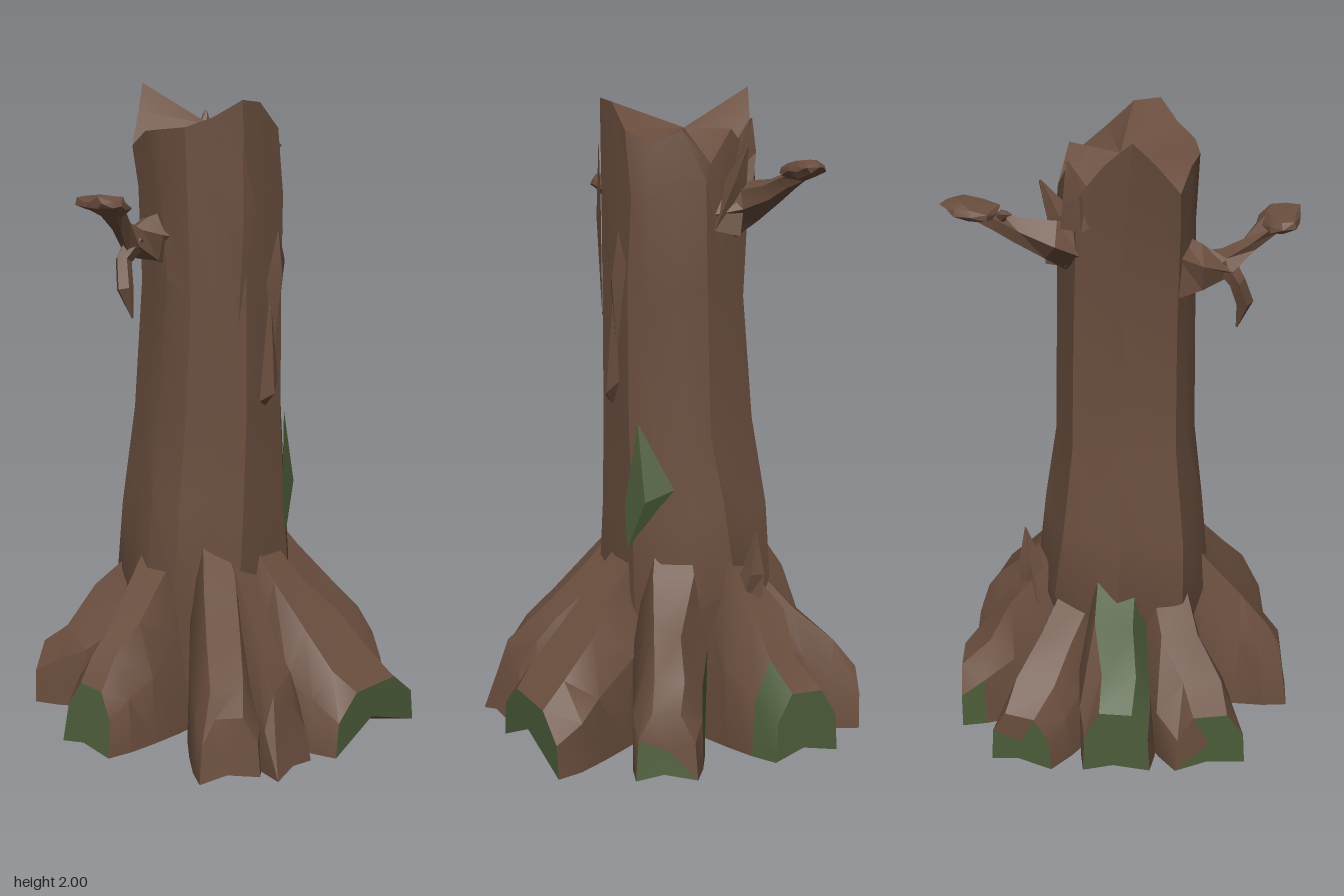
import * as THREE from 'three';
import { toCreasedNormals } from 'three/addons/utils/BufferGeometryUtils.js';

const V = (x, y, z) => new THREE.Vector3(x, y, z);

export function createModel() {
  const model = new THREE.Group();
  model.name = 'treeStump';
  const bark = new THREE.MeshStandardMaterial({ color: 0x6a4e3e });
  bark.name = 'barkBrown';
  const moss = new THREE.MeshStandardMaterial({ color: 0x4d5d3a });
  moss.name = 'mossGreen';

  let seed = 7;
  const rand = () => (seed = (seed * 16807) % 2147483647) / 2147483647;
  const jitter = (a) => (rand() - 0.5) * 2 * a;

  function addMesh(name, tris, material, crease = 0.5) {
    if (!tris.length) return;
    const g = new THREE.BufferGeometry().setFromPoints(tris.flat());
    const m = new THREE.Mesh(toCreasedNormals(g, crease), material);
    m.name = name;
    model.add(m);
  }

  // Skin a list of rings, close both ends, and turn every face outward
  function loft(name, rings, { isMoss = () => false, tip = null, crease = 0.5 } = {}) {
    const faces = [];
    const n = rings[0].length;
    const put = (green, ...t) => faces.push({ green, t });
    for (let j = 0; j < rings.length - 1; j++) {
      for (let k = 0; k < n; k++) {
        const a = rings[j][k], b = rings[j][(k + 1) % n];
        const c = rings[j + 1][(k + 1) % n], d = rings[j + 1][k];
        put(isMoss(j, k), a, b, c);
        put(isMoss(j, k), a, c, d);
      }
    }
    const mid = (r) => r.reduce((s, p) => s.add(p), V(0, 0, 0)).divideScalar(n);
    const first = rings[0], last = rings[rings.length - 1];
    const c0 = mid(first), c1 = tip || mid(last);
    for (let k = 0; k < n; k++) {
      put(false, c0, first[(k + 1) % n], first[k]);
      put(isMoss(-1, k), c1, last[k], last[(k + 1) % n]);
    }
    const volume = faces.reduce((s, { t: [a, b, c] }) =>
      s + a.clone().sub(c0).dot(b.clone().sub(c0).cross(c.clone().sub(c0))), 0);
    const pick = (green) => faces.filter((f) => f.green === green)
      .map(({ t: [a, b, c] }) => (volume < 0 ? [a, c, b] : [a, b, c]));
    addMesh(name, pick(false), bark, crease);
    addMesh(name + 'Moss', pick(true), moss, crease);
  }

  // Trunk: height, centre x, centre z, radius x, radius z
  const levels = [
    [0, 0, -0.03, 0.2, 0.18], [0.45, 0.01, -0.08, 0.285, 0.27],
    [0.72, 0.01, -0.075, 0.25, 0.255], [1.0, 0.003, -0.055, 0.215, 0.235],
    [1.4, 0.003, -0.035, 0.208, 0.215], [1.7, 0.003, -0.045, 0.207, 0.228],
    [2.0, -0.02, -0.065, 0.195, 0.242],
  ];
  const sides = 16;
  const ridges = [1, 0.98, 1.0, 1.03, 0.96, 1.04, 0.94, 1.01, 1, 0.94, 1.04, 0.93, 1.01, 0.95, 1.03, 0.94];
  const rim = [1.78, 1.88, 1.84, 1.88, 1.96, 1.97, 1.92, 1.89, 1.88, 1.87, 1.82, 1.92, 2.0, 1.92, 1.8, 1.88];
  function trunkPoint(i, y, out = 0) {
    let l = 0;
    while (l < levels.length - 2 && y > levels[l + 1][0]) l++;
    const p = levels[l], q = levels[l + 1];
    const f = (y - p[0]) / (q[0] - p[0]);
    const [cx, cz, rx, rz] = [1, 2, 3, 4].map((k) => THREE.MathUtils.lerp(p[k], q[k], f));
    const i0 = Math.floor(i), n = (k) => ridges[((k % sides) + sides) % sides];
    const s = THREE.MathUtils.lerp(n(i0), n(i0 + 1), i - i0);
    const a = (i / sides) * Math.PI * 2;
    return V(cx + Math.cos(a) * (rx * s + out), y, cz + Math.sin(a) * (rz * s + out));
  }
  const trunkRings = [0, 0.45, 0.72, 1.0, 1.4, 1.7].map((y, r) =>
    ridges.map((_, i) => trunkPoint(i + (r % 2 ? jitter(0.2) : 0), y ? y + jitter(0.04) : 0)));
  trunkRings.push(rim.map((y, i) => trunkPoint(i, y)));
  loft('trunk', trunkRings, { tip: V(0.02, 1.88, -0.06) });

  // Raised bark flakes and the moss patch lie on the trunk surface
  function flake(name, i, y0, yMid, y1, half, bulge, material, foot = 0.1, head = -0.1) {
    const b = trunkPoint(i + foot, y0, 0.008), t = trunkPoint(i + head, y1, 0.008);
    const r = trunkPoint(i - half, yMid, 0.01), l = trunkPoint(i + half, yMid - 0.06, 0.01);
    const c = trunkPoint(i, yMid - 0.04, bulge);
    addMesh(name, [[c, b, r], [c, r, t], [c, t, l], [c, l, b]], material, 0.4);
  }
  flake('mossPatch', 2.4, 0.6, 0.8, 1.0, 0.85, 0.028, moss, 0.75, 0.2);
  flake('barkFlake', 3.9, 1.04, 1.12, 1.42, 0.5, 0.035, bark);
  flake('barkFlake', 3.5, 1.2, 1.48, 1.58, 0.55, 0.03, bark);
  flake('barkFlake', 5.2, 1.3, 1.65, 1.85, 0.5, 0.02, bark);

  // Roots: ground corners of the outer end, height factor, notch, lean of the end face, mossy faces
  const lerp2 = (a, b, f) => [a[0] + (b[0] - a[0]) * f, a[1] + (b[1] - a[1]) * f];
  const profile = [[0, 0], [0.03, 0.55], [0.27, 0.97], [0.75, 1], [0.97, 0.6], [1, 0], [0.55, 0]];
  const stations = [[0, 0.75, 0.75], [0.35, 0.54, 1], [0.6, 0.4, 1.08], [0.82, 0.285, 1.1], [1, 0.2, 1]];
  function root(name, a, b, k, notch, lean, isMoss) {
    const mid = lerp2(a, b, 0.5);
    const reach = Math.hypot(...mid);
    const width = Math.hypot(b[0] - a[0], b[1] - a[1]);
    const inner = [mid[0] / reach * 0.1, mid[1] / reach * 0.1 - 0.03];
    const side = [(b[0] - a[0]) / width * 0.115, (b[1] - a[1]) / width * 0.115];
    const ia = [inner[0] - side[0], inner[1] - side[1]];
    const ib = [inner[0] + side[0], inner[1] + side[1]];
    const rings = stations.map(([t, h, w], s) => profile.map(([u, v], p) => {
      const bump = s > 0 && s < 4 && v > 0 ? jitter(0.018) : 0;
      const [x, z] = lerp2(lerp2(ia, a, t), lerp2(ib, b, t), 0.5 + (u - 0.5) * w);
      const y = p === 6 ? notch * t * t : v * h * k + bump;
      const pull = s === 4 ? 1 - lean * v : 1;
      return V(THREE.MathUtils.clamp(x * pull + bump, -0.53, 0.53), y,
        THREE.MathUtils.clamp(z * pull - bump, -0.53, 0.53));
    }));
    loft(name, rings, { isMoss });
  }
  const cap = (...sectors) => (j, k) => j === -1 && sectors.includes(k);
  const wholeCap = cap(0, 1, 2, 3, 4, 5, 6);
  root('backRightRoot', [-0.38, -0.48], [-0.16, -0.53], 1, 0.02, 0, cap(0, 1, 2, 5, 6));
  root('backRoot', [-0.08, -0.53], [0.13, -0.53], 1.12, 0.02, 0,
    (j, k) => j === -1 || (j > 0 && (k === 1 || k === 2)));
  root('backLeftRoot', [0.23, -0.53], [0.42, -0.48], 0.95, 0.02, 0, cap(0, 1, 4, 5, 6));
  root('leftRoot', [0.53, -0.32], [0.53, -0.1], 1.05, 0.03, 0,
    (j, k) => j === -1 || (j === 3 && [0, 3, 4].includes(k)));
  root('frontLeftRoot', [0.53, 0.17], [0.45, 0.335], 1, 0.02, 0.05,
    (j, k) => wholeCap(j, k) ? k > 3 : (j === 1 || j === 2) && k === 0);
  root('frontRoot', [0.33, 0.53], [-0.07, 0.53], 0.92, 0.08, 0, wholeCap);
  root('frontRightRoot', [-0.13, 0.48], [-0.31, 0.5], 0.9, 0.02, 0.1, (j, k) => j === 3 && k === 0);
  root('rightFrontRoot', [-0.32, 0.44], [-0.48, 0.34], 0.95, 0.02, 0.05, cap());
  root('rightRoot', [-0.53, 0.01], [-0.53, -0.19], 1, 0.02, 0.05, wholeCap);

  // Branches: tapering five-sided limbs, points given as x, y, z, radius
  function limb(name, pts) {
    const at = (i) => V(...pts[i].slice(0, 3));
    const rings = pts.map((p, i) => {
      const dir = at(Math.min(i + 1, pts.length - 1)).sub(at(Math.max(i - 1, 0))).normalize();
      const turn = new THREE.Quaternion().setFromUnitVectors(V(0, 0, 1), dir);
      return [0, 1, 2, 3, 4].map((k) => {
        const a = k * Math.PI * 0.4 + i * 0.3, r = p[3] * (1 + jitter(0.2));
        return V(Math.cos(a) * r, Math.sin(a) * r, 0).applyQuaternion(turn).add(at(i));
      });
    });
    loft(name, rings, { crease: 0.3 });
  }
  limb('rightBranch', [[-0.15, 1.55, -0.1, 0.11], [-0.22, 1.55, -0.1, 0.075], [-0.3, 1.55, -0.09, 0.042],
    [-0.36, 1.61, -0.08, 0.03], [-0.42, 1.665, -0.06, 0.035]]);
  limb('rightTwig', [[-0.28, 1.56, -0.09, 0.035], [-0.325, 1.5, -0.1, 0.025], [-0.35, 1.42, -0.07, 0.024],
    [-0.33, 1.33, -0.06, 0.003]]);
  limb('leftBranch', [[0.15, 1.65, -0.15, 0.09], [0.22, 1.67, -0.18, 0.058], [0.31, 1.7, -0.2, 0.035],
    [0.37, 1.735, -0.215, 0.027], [0.43, 1.765, -0.23, 0.03]]);
  limb('leftTwig', [[0.36, 1.73, -0.21, 0.018], [0.345, 1.76, -0.235, 0.014], [0.32, 1.77, -0.26, 0.003]]);

  // Gnarled branch ends
  function gnarl(name, x, y, z, rx, ry, rz, tilt) {
    const g = new THREE.IcosahedronGeometry(1, 1);
    const p = g.attributes.position;
    for (let i = 0; i < p.count; i++) {
      const s = 0.94 + 0.16 * Math.sin(p.getX(i) * 7 + p.getY(i) * 11 + p.getZ(i) * 5);
      p.setXYZ(i, p.getX(i) * s * rx, p.getY(i) * s * ry, p.getZ(i) * s * rz);
    }
    const m = new THREE.Mesh(toCreasedNormals(g, 0.3), bark);
    m.name = name;
    m.position.set(x, y, z);
    m.rotation.z = tilt;
    model.add(m);
  }
  gnarl('rightBranchEnd', -0.45, 1.68, -0.05, 0.07, 0.033, 0.09, -0.2);
  gnarl('leftBranchEnd', 0.435, 1.77, -0.22, 0.088, 0.03, 0.062, 0.15);

  // Broken splinters on the rim and at the foot
  limb('rimSplinter', [[0.17, 1.58, -0.12, 0.06], [0.2, 1.73, -0.14, 0.04], [0.245, 1.83, -0.15, 0.004]]);
  limb('rimSplinter', [[0.12, 1.72, -0.19, 0.06], [0.14, 1.82, -0.2, 0.04], [0.165, 1.91, -0.21, 0.004]]);
  limb('footSplinter', [[0.28, 0.42, -0.14, 0.06], [0.31, 0.54, -0.15, 0.035], [0.32, 0.66, -0.15, 0.003]]);
  return model;
}
